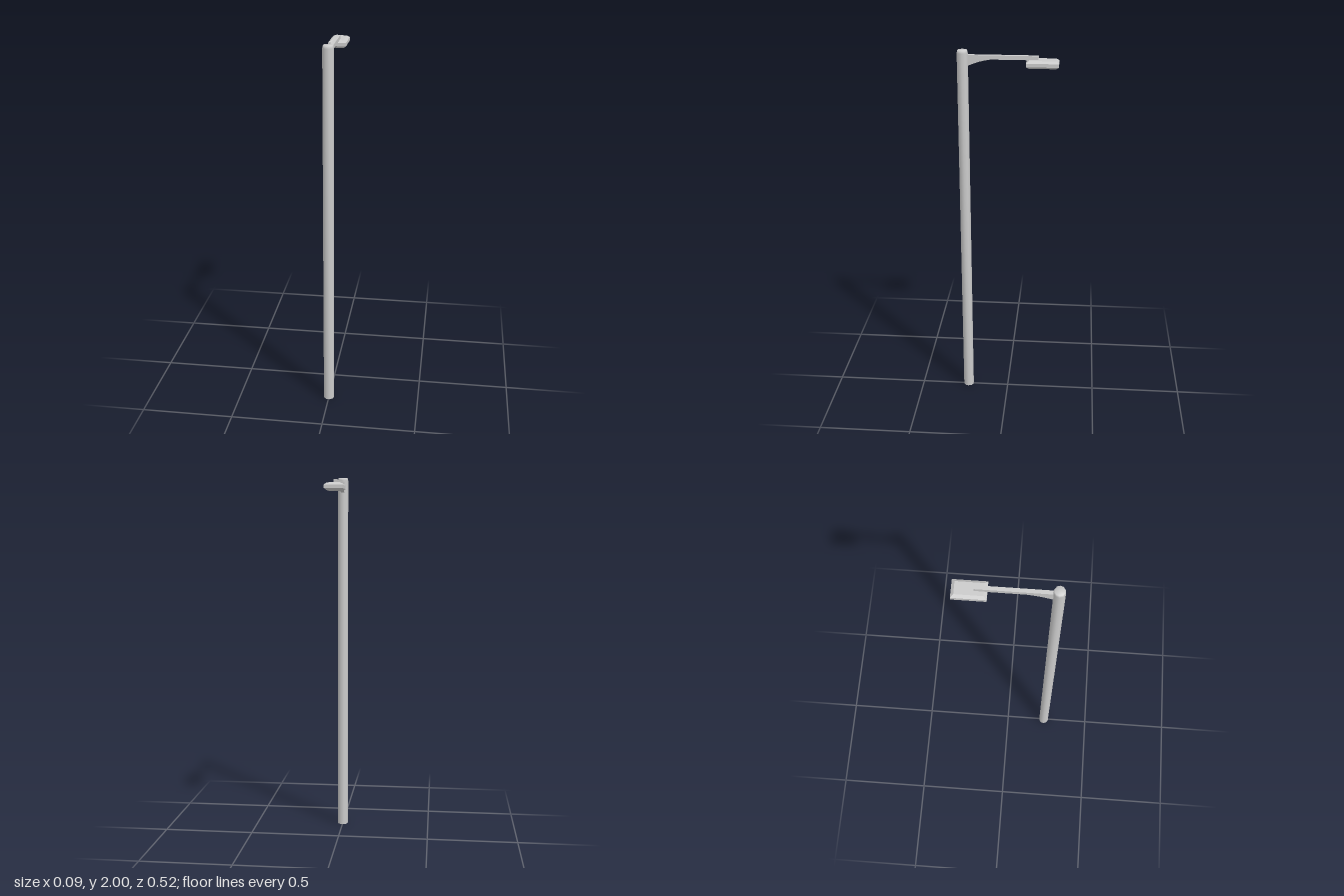
import * as THREE from 'three';

const grey = new THREE.MeshStandardMaterial({ color: 0xcccccc, flatShading: true, side: THREE.DoubleSide });
const smoothGrey = new THREE.MeshStandardMaterial({ color: 0xcccccc, side: THREE.DoubleSide });

const POLE_Z = 0.231;

function addMesh(group, name, geometry, material) {
  const mesh = new THREE.Mesh(geometry, material);
  mesh.name = name;
  group.add(mesh);
  return mesh;
}

// Rectangular block with chamfered rims: the end rings are drawn in by `inset`
function chamferedBlock(width, height, depth, inset, chamfer) {
  const geo = new THREE.BoxGeometry(width, height, depth, 1, 3, 1);
  const p = geo.attributes.position;
  const half = height / 2;
  for (let i = 0; i < p.count; i++) {
    if (Math.abs(p.getY(i)) > half - 1e-5) {
      p.setX(i, p.getX(i) - Math.sign(p.getX(i)) * inset);
      p.setZ(i, p.getZ(i) - Math.sign(p.getZ(i)) * inset);
    } else {
      p.setY(i, Math.sign(p.getY(i)) * (half - chamfer));
    }
  }
  geo.computeVertexNormals();
  return geo;
}

export function createModel() {
  const model = new THREE.Group();
  model.name = 'streetLight';

  // Ten-sided pole, open at the foot, with a small bevel around the cap
  const profile = [[0.029, 0], [0.029, 1.985], [0.025, 2], [0, 2]].map(([r, y]) => new THREE.Vector2(r, y));
  const pole = addMesh(model, 'pole', new THREE.LatheGeometry(profile, 10, Math.PI / 2), smoothGrey);
  pole.position.z = POLE_Z;

  // Flat arm with a curved bracket at the pole; shape x runs towards -z
  const arm = new THREE.Shape();
  arm.moveTo(-0.21, 1.976);
  arm.lineTo(-0.21, 1.918);
  arm.lineTo(-0.2, 1.922);
  arm.quadraticCurveTo(-0.15, 1.946, -0.085, 1.955);
  arm.lineTo(0.157, 1.955);
  arm.lineTo(0.157, 1.976);
  const armGeo = new THREE.ExtrudeGeometry(arm, { depth: 0.02, bevelEnabled: false, curveSegments: 4 });
  armGeo.translate(0, 0, -0.01);
  armGeo.rotateY(Math.PI / 2);
  addMesh(model, 'arm', armGeo, grey);

  // Lamp head hung under the end of the arm
  const lamp = addMesh(model, 'lampHead', chamferedBlock(0.094, 0.04, 0.166, 0.0145, 0.011), grey);
  lamp.position.set(0, 1.937, -0.178);

  return model;
}
